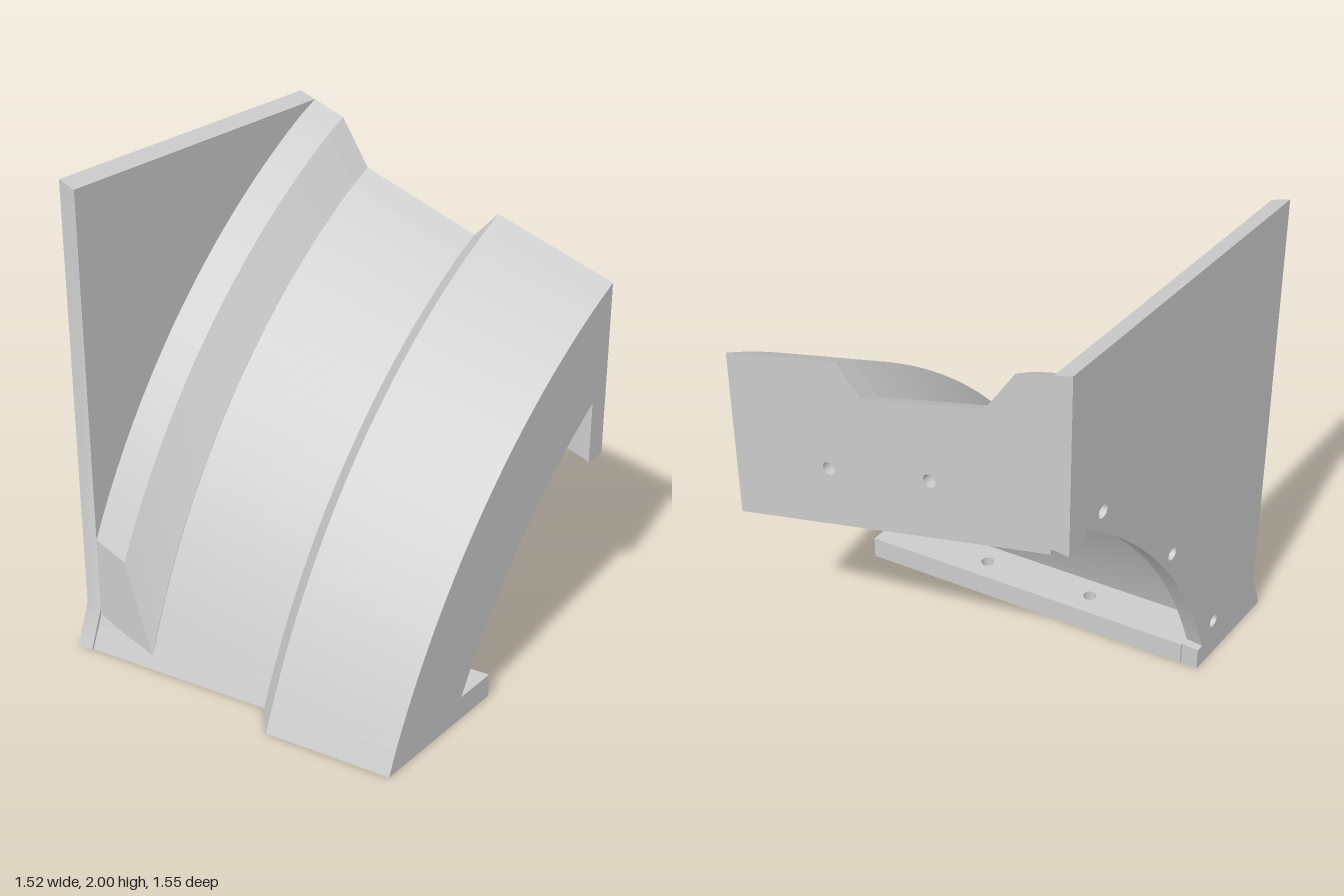
import * as THREE from 'three';
import { toCreasedNormals } from 'three/addons/utils/BufferGeometryUtils.js';

const V = (x, y) => new THREE.Vector2(x, y);
const lerp = THREE.MathUtils.lerp;
const FRONT = 0.775, BACK = -0.775, PLATE = -0.7;
const material = new THREE.MeshStandardMaterial({ color: 0xcccccc });

// Circular arc from a (lower left) to b (upper right), bulging up and left
function arc(a, b, radius, n = 40) {
  const half = a.distanceTo(b) / 2;
  const dir = b.clone().sub(a).normalize();
  const centre = a.clone().add(b).multiplyScalar(0.5)
    .add(V(dir.y, -dir.x).multiplyScalar(Math.sqrt(radius * radius - half * half)));
  const start = Math.atan2(a.y - centre.y, a.x - centre.x);
  const sweep = 2 * Math.asin(half / radius);
  return Array.from({ length: n + 1 }, (_, i) => {
    const t = start - sweep * i / n;
    return V(centre.x + radius * Math.cos(t), centre.y + radius * Math.sin(t));
  });
}

// Solid through counter-clockwise sections { z, points }, listed front to back
function loft(sections) {
  const n = sections[0].points.length, pos = [], index = [];
  sections.forEach(s => s.points.forEach(p => pos.push(p.x, p.y, s.z)));
  for (let k = 0; k < sections.length - 1; k++) {
    for (let i = 0; i < n; i++) {
      const a = k * n + i, b = k * n + (i + 1) % n, c = b + n, d = a + n;
      index.push(a, d, c, a, c, b);
    }
  }
  const last = (sections.length - 1) * n;
  THREE.ShapeUtils.triangulateShape(sections[0].points, [])
    .forEach(([a, b, c]) => index.push(a, b, c));
  THREE.ShapeUtils.triangulateShape(sections[sections.length - 1].points, [])
    .forEach(([a, b, c]) => index.push(last + a, last + c, last + b));
  const g = new THREE.BufferGeometry();
  g.setAttribute('position', new THREE.Float32BufferAttribute(pos, 3));
  g.setIndex(index);
  return g;
}

// Flat plate with round screw holes
function plate(points, holes, depth) {
  const shape = new THREE.Shape(points.map(p => V(p[0], p[1])));
  holes.forEach(([x, y]) => shape.holes.push(new THREE.Path().absarc(x, y, 0.028, 0, Math.PI * 2, true)));
  return new THREE.ExtrudeGeometry(shape, { depth, bevelEnabled: false, curveSegments: 10 });
}

// Move vertices by a rule
function reshape(g, rule) {
  const p = g.attributes.position, v = new THREE.Vector3();
  for (let i = 0; i < p.count; i++) {
    rule(v.fromBufferAttribute(p, i));
    p.setXYZ(i, v.x, v.y, v.z);
  }
  return g;
}

function add(group, name, g) {
  const flat = g.index ? g.toNonIndexed() : g;
  const mesh = new THREE.Mesh(toCreasedNormals(flat, 0.4), material);
  mesh.name = name;
  group.add(mesh);
}

export function createModel() {
  const group = new THREE.Group();

  // Outer surface per z: x at the floor, y at the side face
  const outer = [
    [FRONT, -0.697, 1.505], [0.235, -0.76, 1.67], [0.125, -0.635, 1.555],
    [-0.42, -0.702, 1.73], [PLATE, -0.736, 1.82],
  ];
  // How far back a z lies, 0 at the front and 1 at the back
  const back = z => (FRONT - z) / (FRONT - BACK);

  // Curved shell with the grooved outside and hollow inside
  add(group, 'curvedBody', loft(outer.map(([z, xb, yr]) => {
    const t = back(z);
    const outside = arc(V(xb + 0.042, 0.1), V(0.66, yr - 0.048), 2.95);
    const inside = arc(V(lerp(-0.225, -0.42, t), 0.1), V(0.66, lerp(1.02, 1.515, t)), 2.6);
    return { z, points: [...inside, ...outside.reverse()] };
  })));

  // Raised collar in front of the back plate: z, left y, right y, inner left y, inner right y
  const collar = [
    [-0.42, 0.05, 1.73, 0.02, 1.68], [-0.55, 0.44, 1.925, 0.05, 1.7], [PLATE, 0.49, 1.975, 0.08, 1.75],
  ];
  add(group, 'raisedCollar', loft(collar.map(([z, yl, yr, il, ir], i) => {
    const outside = arc(V(-0.68, yl), V(0.66, yr - 0.048), i ? 3.2 : 2.95);
    const inside = arc(V(-0.68, il), V(0.66, ir - 0.048), 2.95);
    return { z, points: [...inside, ...outside.reverse()] };
  })));

  // Side flange, its top following the slope of the shell
  const side = plate([
    [-FRONT, 0.757], [-PLATE, 1.231], [-PLATE, 1.975], [0.55, 1.925],
    [0.42, 1.73], [-0.125, 1.555], [-0.235, 1.67], [-FRONT, 1.505],
  ], [[-0.3, 1.17], [0.175, 1.32]], 0.1);
  side.rotateY(Math.PI / 2).translate(0.66, 0, 0);
  add(group, 'sideFlange', reshape(side, v => { if (v.x < 0.7 && v.y > 1.45) v.y -= 0.048; }));

  // Base flange, its left edge following the slope of the shell
  const base = plate([
    [-0.03, -FRONT], [-0.216, -PLATE], ...outer.map(([z, xb]) => [xb, -z]).reverse(),
  ], [[-0.19, -0.27], [-0.257, 0.22]], 0.1);
  base.rotateX(-Math.PI / 2);
  add(group, 'baseFlange', reshape(base, v => { if (v.y > 0.05 && v.x < -0.5) v.x += 0.042; }));

  // Back plate with an arched cut-out and a slanted top edge
  const arch = arc(V(-0.26, 0.1), V(0.66, 1.31), 2.6).map(p => [p.x, p.y]);
  const rear = plate([
    [-0.745, 0], [-0.225, 0], [-0.225, 0.1], ...arch, [0.66, 1.255], [0.76, 1.255],
    [0.76, 1.975], [-0.68, 1.975], [-0.68, 0.17],
  ], [[0.55, 1.32], [0.04, 0.79], [-0.34, 0.18]], PLATE - BACK);
  rear.translate(0, 0, BACK);
  add(group, 'backPlate', reshape(rear, v => { if (v.y > 1.9 && v.z < -0.75) v.y = 2; }));

  return group;
}
